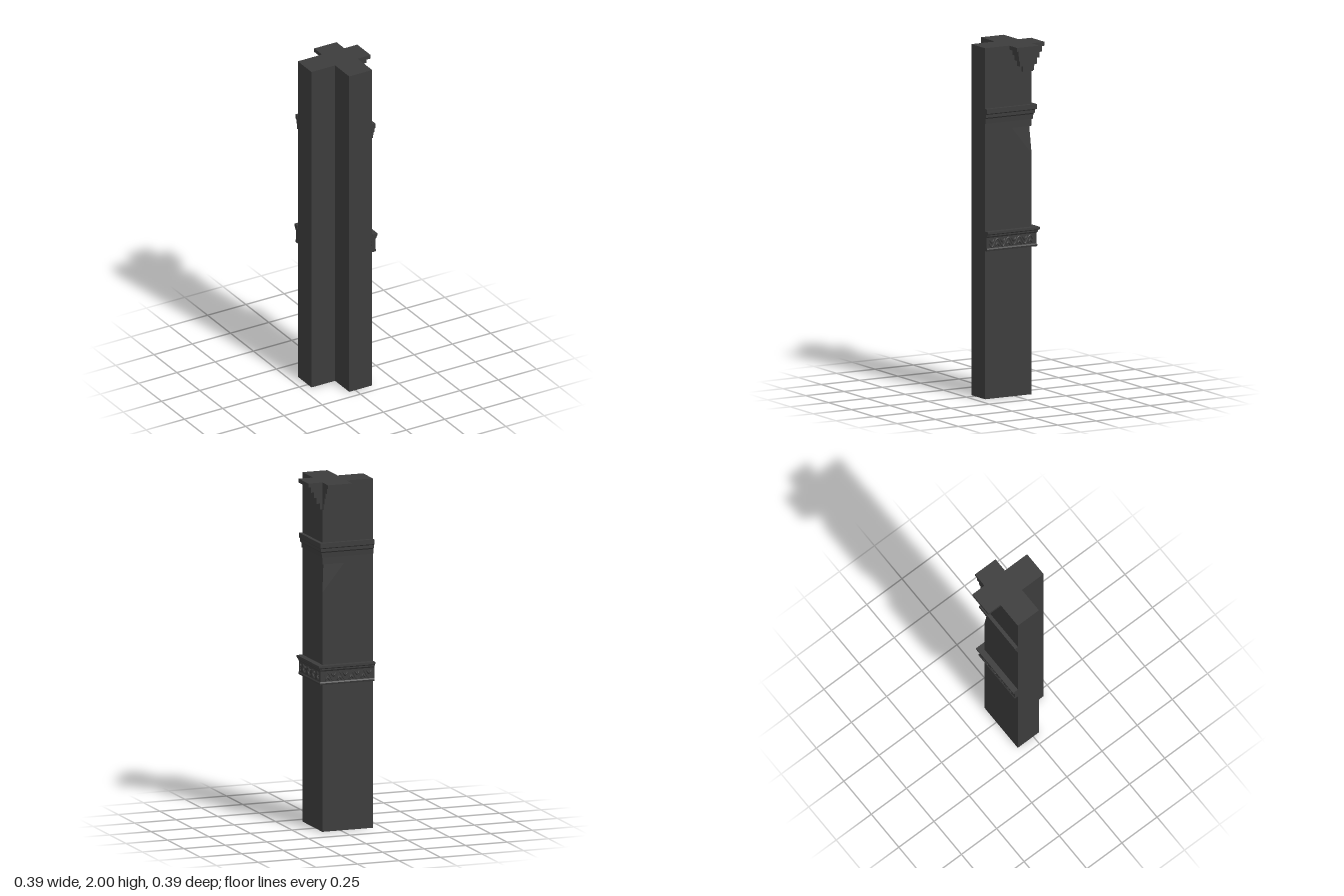
import * as THREE from 'three';

const mat = new THREE.MeshStandardMaterial({ color: 0x3c3c3c, flatShading: true });
const W = 0.11;    // distance of the two outer walls from the centre
const END = 0.194; // far end of each arm

function mesh(name, geometry, parent) {
  const m = new THREE.Mesh(geometry, mat);
  m.name = name;
  parent.add(m);
  return m;
}

// Skin a list of equal-length closed rings and cap both ends with fans.
function loft(rings) {
  const pos = [];
  const tri = (a, b, c) => {
    if (new THREE.Triangle(a, b, c).getArea() > 1e-8) for (const p of [a, b, c]) pos.push(p.x, p.y, p.z);
  };
  const n = rings[0].length;
  for (let r = 0; r < rings.length - 1; r++) {
    const lo = rings[r], hi = rings[r + 1];
    for (let i = 0; i < n; i++) {
      const j = (i + 1) % n;
      tri(lo[i], lo[j], hi[j]);
      tri(lo[i], hi[j], hi[i]);
    }
  }
  const first = rings[0], last = rings[rings.length - 1];
  for (let i = 1; i < n - 1; i++) {
    tri(first[0], first[i + 1], first[i]);
    tri(last[0], last[i], last[i + 1]);
  }
  const g = new THREE.BufferGeometry();
  g.setAttribute('position', new THREE.Float32BufferAttribute(pos, 3));
  g.computeVertexNormals();
  return g;
}

// L-shaped plan; the outer corner is three points so that it can be cut back.
function plan(y, cut = false) {
  const corner = cut ? [[W, 0.02], [W - 0.01, 0.01 - W], [-0.02, -W]] : [[W, -W], [W, -W], [W, -W]];
  return [[-0.04, 0.04], [-0.04, END], [W, END], ...corner, [-END, -W], [-END, 0.04]]
    .map(([x, z]) => new THREE.Vector3(x, y, z));
}

// Moulding mitred round the outer corner; profile is [projection, height] from bottom to top.
function moulding(profile) {
  const mid = (profile[0][1] + profile[profile.length - 1][1]) / 2;
  const pts = [[-0.004, mid], ...profile];
  return loft([
    pts.map(([d, y]) => new THREE.Vector3(-END - 0.001, y, -W - d)),
    pts.map(([d, y]) => new THREE.Vector3(W + d, y, -W - d)),
    pts.map(([d, y]) => new THREE.Vector3(W + d, y, END + 0.001)),
  ]);
}

// Stepped corbel on one wall; the back wall mirrors the side wall.
function corbel(back) {
  const g = new THREE.Group();
  g.name = back ? 'backCorbel' : 'sideCorbel';
  // [projection, inner end, bottom height]
  const steps = [[0.085, 0.036, 1.978], [0.068, 0.016, 1.946], [0.05, 0.001, 1.914], [0.034, -0.015, 1.88], [0.014, -0.045, 1.845]];
  let top = 2;
  steps.forEach(([p, end, y], i) => {
    const len = end + W, h = top - y;
    const x = W + p / 2, z = (end - W) / 2;
    const m = mesh('corbelStep' + (i + 1), back ? new THREE.BoxGeometry(len, h, p) : new THREE.BoxGeometry(p, h, len), g);
    m.position.set(back ? -z : x, y + h / 2, back ? -x : z);
    top = y;
  });
  return g;
}

// Carved vine with leaves, laid along +X wall and then turned for the back wall.
function carving(back) {
  const g = new THREE.Group();
  g.name = back ? 'backCarving' : 'sideCarving';
  const depth = W + 0.02, waves = 4, start = -0.105, span = 0.285;
  const place = (z, y, d = depth) => (back ? new THREE.Vector3(-z, y, -d) : new THREE.Vector3(d, y, z));
  const pts = [];
  for (let i = 0; i <= 32; i++) {
    const t = i / 32;
    pts.push(place(start + t * span, 0.89 + 0.022 * Math.sin(t * waves * Math.PI * 2)));
  }
  mesh('vine', new THREE.TubeGeometry(new THREE.CatmullRomCurve3(pts), 64, 0.005, 5), g);
  for (let i = 0; i < waves * 2; i++) {
    const sign = i % 2 ? 1 : -1;
    for (const k of [-1, 1]) {
      const leaf = mesh('leaf', new THREE.OctahedronGeometry(1, 1), g);
      leaf.position.copy(place(start + (i + 0.5 + k * 0.17) * span / (waves * 2), 0.89 + sign * 0.009));
      leaf.scale.set(back ? 0.006 : 0.007, 0.016, back ? 0.007 : 0.006);
      leaf.rotation[back ? 'z' : 'x'] = k * sign * 0.6;
    }
  }
  return g;
}

export function createModel() {
  const model = new THREE.Group();
  model.name = 'cornerPillar';

  // Shaft with a triangular cut under the upper moulding
  mesh('shaft', loft([plan(0), plan(1.37), plan(1.53, true), plan(1.53), plan(2)]), model);

  // Upper moulding
  mesh('upperMoulding', moulding([
    [0, 1.57], [0.005, 1.57], [0.007, 1.598], [0.013, 1.605], [0.013, 1.622],
    [0.021, 1.628], [0.021, 1.655], [0, 1.655],
  ]), model);

  // Lower frieze and its cap
  mesh('frieze', moulding([
    [0, 0.845], [0.022, 0.845], [0.025, 0.855], [0.02, 0.862], [0.02, 0.922],
    [0.026, 0.93], [0.026, 0.937], [0.034, 0.943], [0.034, 0.956], [0, 0.956],
  ]), model);

  for (const back of [false, true]) model.add(carving(back), corbel(back));
  return model;
}
